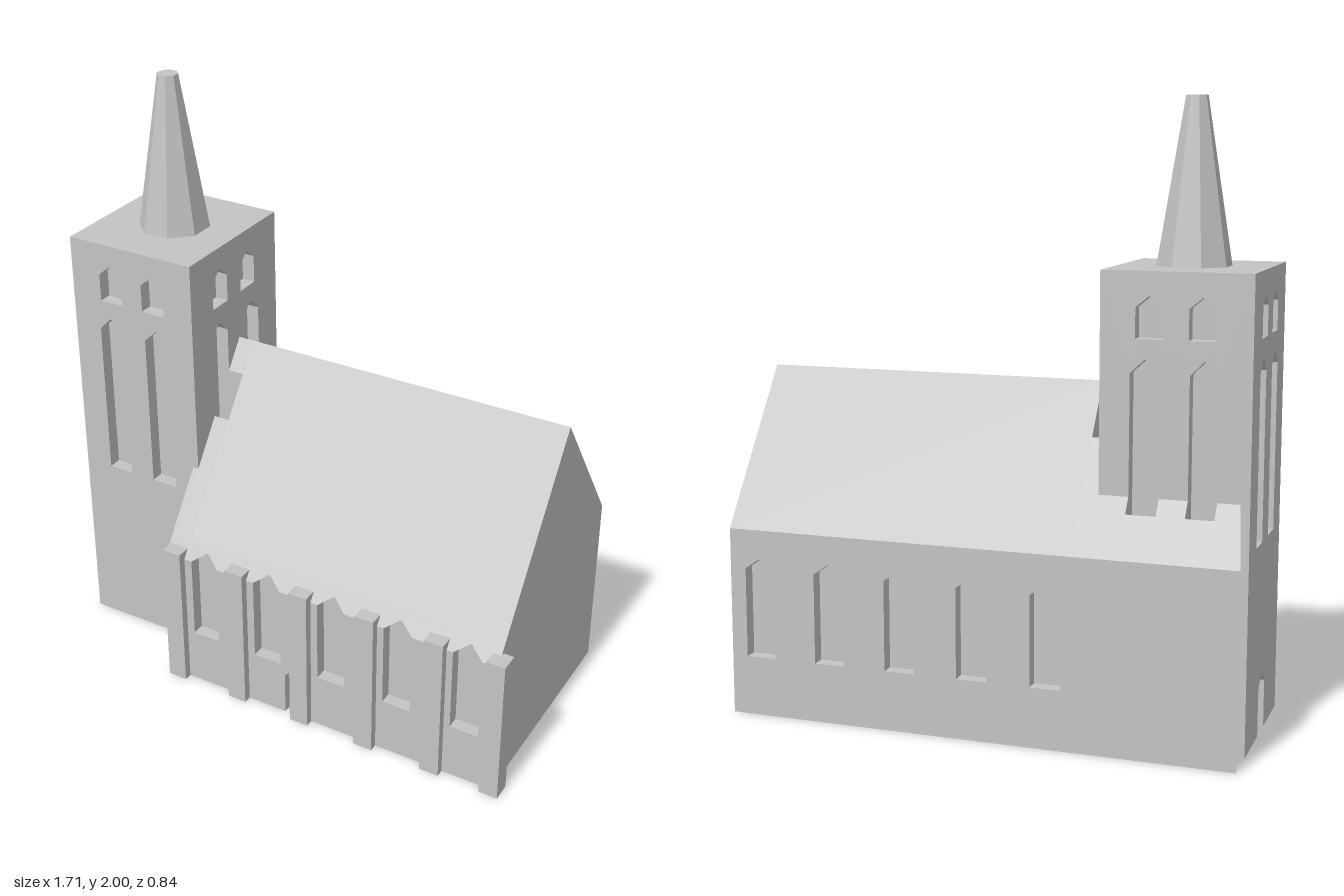
import * as THREE from 'three';

const DEPTH = 0.045; // recess depth of windows and doors
const X0 = -0.86, X1 = -0.39, Z0 = -0.295, Z1 = 0.215, TOWER_H = 1.48;
const NAVE_END = 0.815, RIDGE_Z = -0.06, RIDGE_Y = 1.11, EAVE = 0.49;

// Roof slopes
const frontY = z => RIDGE_Y - 1.37 * (z - RIDGE_Z);
const frontZ = y => (RIDGE_Y - y) / 1.37 + RIDGE_Z;
const backY = z => RIDGE_Y - 1.361 * (RIDGE_Z - z);

const shapeOf = pts => new THREE.Shape(pts.map(p => new THREE.Vector2(...p)));

// Pointed opening outline
const pointed = (a, b, y0, shoulder, apex) =>
  [[a, y0], [b, y0], [b, shoulder], [(a + b) / 2, apex], [a, shoulder]];

// Wall outline with pointed holes and an optional door cut in from the ground
function wallShape(a, b, h, holes, door) {
  const bottom = door
    ? [[door[0], 0], [door[0], 0.155], [(door[0] + door[1]) / 2, 0.2], [door[1], 0.155], [door[1], 0]]
    : [];
  const s = shapeOf([[a, 0], ...bottom, [b, 0], [b, h], [a, h]]);
  holes.forEach(p => s.holes.push(new THREE.Path(p.map(q => new THREE.Vector2(...q)))));
  return s;
}

const extrude = (shape, depth) =>
  new THREE.ExtrudeGeometry(shape, { depth, bevelEnabled: false });
// Shape drawn in x,y
const alongZ = (shape, z0, z1) => extrude(shape, z1 - z0).translate(0, 0, z0);
// Shape drawn in z,y
const alongX = (shape, x0, x1) => extrude(shape, x1 - x0).rotateY(-Math.PI / 2).translate(x1, 0, 0);

function box(x0, x1, y0, y1, z0, z1) {
  return new THREE.BoxGeometry(x1 - x0, y1 - y0, z1 - z0)
    .translate((x0 + x1) / 2, (y0 + y1) / 2, (z0 + z1) / 2);
}

export function createModel() {
  const stone = new THREE.MeshStandardMaterial({ color: 0xc4c4c4 });
  stone.name = 'grey stone';
  const model = new THREE.Group();
  model.name = 'church';
  const group = name => {
    const g = new THREE.Group();
    g.name = name;
    model.add(g);
    return g;
  };
  const add = (parent, name, geometry) => {
    const m = new THREE.Mesh(geometry, stone);
    m.name = name;
    parent.add(m);
  };

  // Tower: solid core wrapped in four pierced walls
  const tower = group('tower');
  const tallX = [[-0.76, -0.67], [-0.58, -0.485]];
  const tallZ = [[-0.18, -0.085], [0.01, 0.105]];
  const openings = (tall, small) => [
    ...tall.map(([a, b]) => pointed(a, b, 0.63, 1.17, 1.215)),
    ...small.map(([a, b]) => pointed(a, b, 1.275, 1.37, 1.405)),
  ];
  const holesX = openings(tallX, [[-0.75, -0.665], [-0.585, -0.5]]);
  const holesZ = openings(tallZ, [[-0.16, -0.075], [0.005, 0.09]]);
  add(tower, 'towerCore', box(X0 + DEPTH, X1 - DEPTH, 0, TOWER_H, Z0 + DEPTH, Z1 - DEPTH));
  add(tower, 'towerFrontWall', alongZ(wallShape(X0, X1, TOWER_H, holesX), Z1 - DEPTH, Z1));
  add(tower, 'towerBackWall', alongZ(wallShape(X0, X1, TOWER_H, holesX), Z0, Z0 + DEPTH));
  const sideShape = door => wallShape(Z0 + DEPTH, Z1 - DEPTH, TOWER_H, holesZ, door);
  add(tower, 'towerDoorWall', alongX(sideShape([-0.09, 0.01]), X0, X0 + DEPTH));
  add(tower, 'towerNaveWall', alongX(sideShape(), X1 - DEPTH, X1));

  // Eight-sided blunt spire
  const toCorner = 1 / Math.cos(Math.PI / 8);
  const spire = new THREE.CylinderGeometry(0.032 * toCorner, 0.11 * toCorner, 2 - TOWER_H, 8).toNonIndexed();
  spire.computeVertexNormals();
  spire.rotateY(Math.PI / 8).translate(-0.62, (2 + TOWER_H) / 2, -0.04);
  add(tower, 'spire', spire);

  // Nave body, notched below the tower windows
  const nave = group('nave');
  const inner = 0.35, backInner = -0.42 + DEPTH;
  const notch = (a, b, roof) => [[b, roof(b)], [b, 0.63], [a, 0.63], [a, roof(a)]];
  const section = notches => shapeOf([
    [inner, 0], [inner, frontY(inner)],
    ...(notches ? notch(...tallZ[1], frontY) : []),
    [RIDGE_Z, RIDGE_Y],
    ...(notches ? notch(...tallZ[0], backY) : []),
    [-0.42, 0.62], [backInner, 0.62], [backInner, 0],
  ]);
  add(nave, 'naveBody', alongX(section(false), -0.335, NAVE_END));
  add(nave, 'naveTowerJoint', alongX(section(true), X1, -0.335));
  add(nave, 'naveFrontCorner', alongX(shapeOf([
    [Z1, 0], [inner, 0], [inner, frontY(inner)], [Z1, frontY(Z1)],
  ]), -0.41, X1));

  // Aisle behind the tower, cut away under each tall window
  const aisle = notched => shapeOf([
    [-0.42, 0], [-0.42, 0.62],
    ...(notched ? [[-0.33, backY(-0.33)], [-0.33, 0.63], [Z0, 0.63]] : [[Z0, backY(Z0)]]),
    [Z0, 0],
  ]);
  const cuts = [X0, ...tallX.flat(), X1];
  for (let i = 0; i < cuts.length - 1; i++) {
    const g = alongX(aisle(i % 2 === 1), cuts[i], cuts[i + 1]);
    if (i === 0) { // slanted end
      const p = g.attributes.position;
      for (let k = 0; k < p.count; k++) {
        if (p.getX(k) < X0 + 0.001) p.setX(k, X0 + 0.24 * (p.getZ(k) + 0.42));
      }
      g.computeVertexNormals();
    }
    add(nave, 'rearAisle' + (i + 1), g);
  }

  // Nave windows, the same spacing front and back
  const windows = [0, 1, 2, 3, 4].map(i => [-0.31 + i * 0.243, -0.21 + i * 0.243]);
  add(nave, 'naveBackWall', alongZ(
    wallShape(X1, NAVE_END, 0.62, windows.map(([a, b]) => pointed(a, b, 0.195, 0.49, 0.525))),
    -0.42, backInner));

  // Front wall up to the eave, windows open at the top, small door at the foot
  const left = -0.41;
  const wallTop = [...windows].reverse().flatMap(([a, b]) => [[b, EAVE], [b, 0.195], [a, 0.195], [a, EAVE]]);
  const frontWall = shapeOf([
    [left, 0], [0.05, 0], [0.05, 0.155], [0.1, 0.2], [0.15, 0.155], [0.15, 0],
    [NAVE_END, 0], [NAVE_END, EAVE], ...wallTop, [left, EAVE],
  ]);
  add(nave, 'naveFrontWall', alongZ(frontWall, inner, frontZ(EAVE)));

  // Sloping roof edge, cut by the window points
  const points = windows.flatMap(([a, b]) => [[a, EAVE], [(a + b) / 2, 0.525], [b, EAVE]]);
  const top = frontY(inner);
  const edge = alongZ(shapeOf([[left, EAVE], ...points, [NAVE_END, EAVE], [NAVE_END, top], [left, top]]),
    inner, frontZ(EAVE));
  const pos = edge.attributes.position;
  for (let k = 0; k < pos.count; k++) {
    pos.setZ(k, Math.min(pos.getZ(k), frontZ(pos.getY(k))));
  }
  edge.computeVertexNormals();
  add(nave, 'roofEdge', edge);

  // Buttresses along the front
  const buttresses = group('buttresses');
  for (let i = 0; i < 6; i++) {
    const x = -0.405 + i * 0.2445 - (i === 5 ? 0.03 : 0);
    add(buttresses, 'buttress' + (i + 1),
      i === 5 ? box(0.785, 0.85, 0, 0.52, 0.355, 0.42) : box(x, x + 0.067, 0, 0.52, 0.368, 0.42));
  }
  return model;
}
